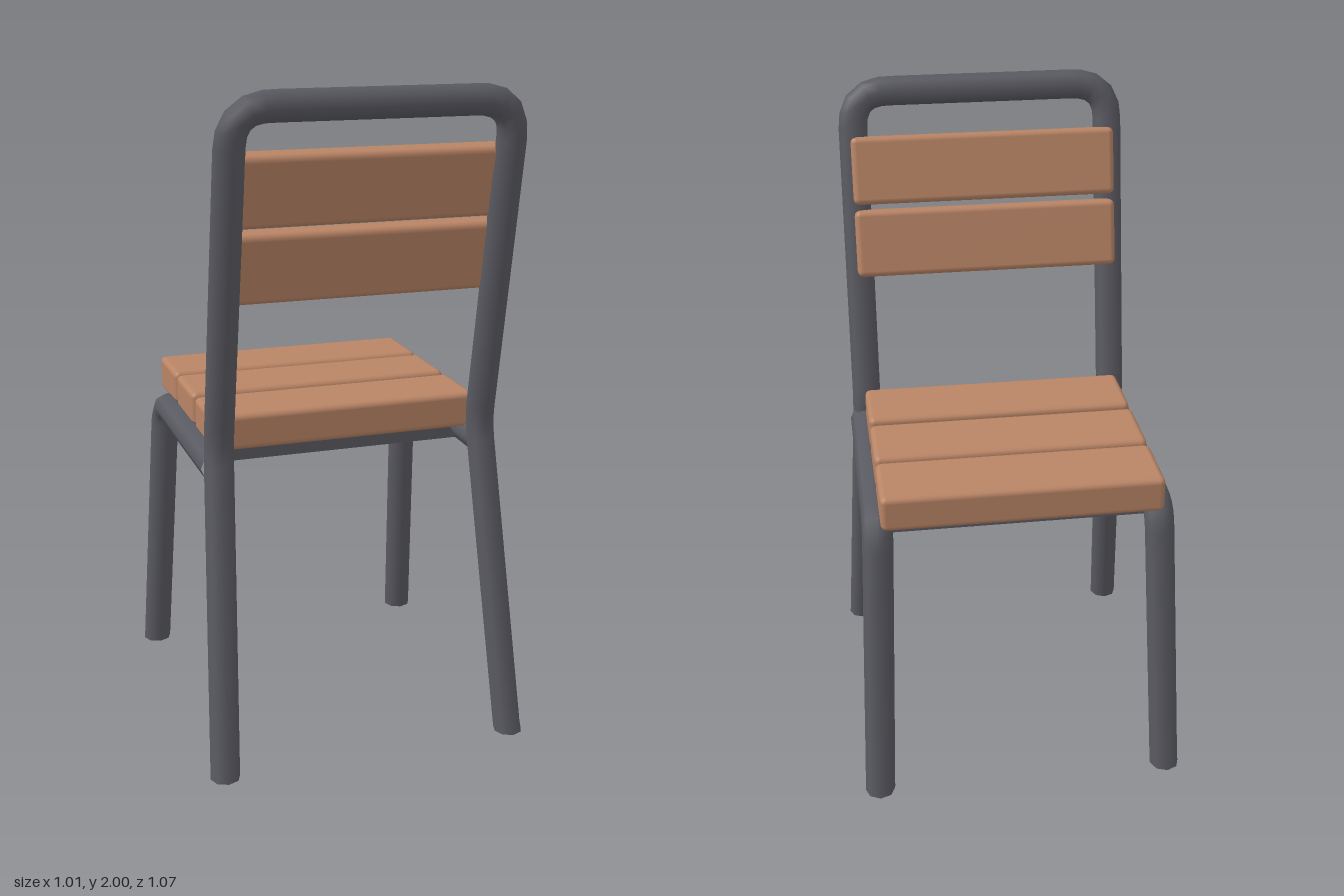
import * as THREE from 'three';
import { RoundedBoxGeometry } from 'three/addons/geometries/RoundedBoxGeometry.js';

const metal = new THREE.MeshStandardMaterial({ color: 0x5a5a62 });
metal.name = 'darkGreyMetal';
const wood = new THREE.MeshStandardMaterial({ color: 0xb98465 });
wood.name = 'brownWood';

// Path through corner points, each inner corner rounded by its own bend length
function bentPath(points, bends) {
  const p = points.map((a) => new THREE.Vector3(...a));
  const path = new THREE.CurvePath();
  let from = p[0];
  for (let i = 1; i < p.length - 1; i++) {
    const toward = (q) => p[i].clone().add(q.clone().sub(p[i]).setLength(bends[i - 1]));
    const a = toward(p[i - 1]), b = toward(p[i + 1]);
    path.add(new THREE.LineCurve3(from, a));
    path.add(new THREE.QuadraticBezierCurve3(a, p[i], b));
    from = b;
  }
  path.add(new THREE.LineCurve3(from, p[p.length - 1]));
  return path;
}

// Eight-sided tube, cut flat at the floor
function tube(name, path, segments, radius) {
  const geo = new THREE.TubeGeometry(path, segments, radius, 8);
  const pos = geo.attributes.position;
  for (let i = 0; i < pos.count; i++) pos.setY(i, Math.max(0, pos.getY(i)));
  const mesh = new THREE.Mesh(geo, metal);
  mesh.name = name;
  return mesh;
}

function slat(name, h, d, y, z, tilt = 0) {
  const mesh = new THREE.Mesh(new RoundedBoxGeometry(0.835, h, d, 2, 0.018), wood);
  mesh.name = name;
  mesh.position.set(0, y, z);
  mesh.rotation.x = tilt;
  return mesh;
}

export function createModel() {
  const chair = new THREE.Group();
  chair.name = 'chair';

  // Rear legs and backrest hoop: one continuous tube
  const side = (s) => [[s * 0.458, -0.02, 0.493], [s * 0.41, 0.97, 0.303], [s * 0.405, 1.955, 0.49]];
  chair.add(tube('backFrame',
    bentPath([...side(-1), ...side(1).reverse()], [0.06, 0.11, 0.11, 0.06]), 120, 0.045));

  for (const s of [-1, 1]) {
    // Side rail bending down into the front leg
    const rail = [[s * 0.42, 0.907, 0.31], [s * 0.423, 0.907, -0.375], [s * 0.458, -0.02, -0.488]];
    chair.add(tube('railAndFrontLeg', bentPath(rail, [0.08]), 60, 0.046));
    // Closed undersides of the feet
    for (const z of [-0.486, 0.489]) {
      const foot = new THREE.Mesh(new THREE.CircleGeometry(0.045, 8), metal);
      foot.name = 'footCap';
      foot.rotation.x = Math.PI / 2;
      foot.position.set(s * 0.458, 0.001, z);
      chair.add(foot);
    }
  }

  // Cross bars under the seat
  for (const z of [-0.34, -0.11, 0.14]) {
    const bar = new THREE.Mesh(new THREE.BoxGeometry(0.82, 0.06, 0.06), metal);
    bar.name = 'crossBar';
    bar.position.set(0, 0.902, z);
    chair.add(bar);
  }

  // Seat slats
  for (const z of [-0.353, -0.111, 0.14]) chair.add(slat('seatSlat', 0.11, 0.225, 0.986, z));

  // Backrest slats, leaning back
  chair.add(slat('upperBackSlat', 0.21, 0.065, 1.725, 0.413, 0.24));
  chair.add(slat('lowerBackSlat', 0.21, 0.065, 1.503, 0.36, 0.22));

  return chair;
}
